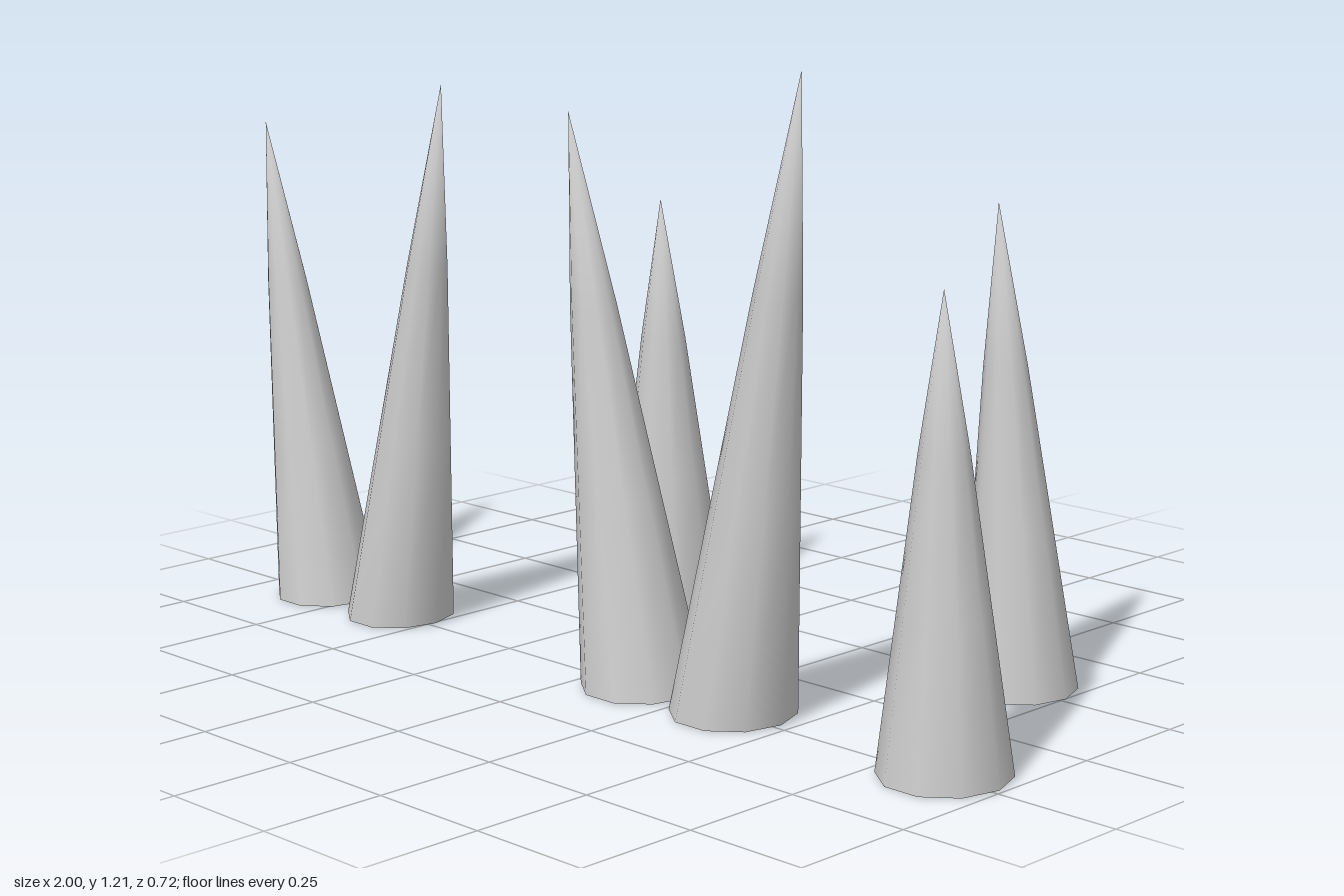
import * as THREE from 'three';
import { mergeVertices } from 'three/addons/utils/BufferGeometryUtils.js';

const material = new THREE.MeshStandardMaterial({ color: 0xcccccc, side: THREE.DoubleSide });

// Open ten-sided spike: slightly bulging taper from a base ring to a leaning tip
function spike(name, r, [bx, bz], [tx, ty, tz]) {
  let geo = new THREE.ConeGeometry(1, 1, 10, 3, true);
  geo.rotateY(Math.PI / 2);
  geo.translate(0, 0.5, 0);
  const p = geo.attributes.position;
  for (let i = 0; i < p.count; i++) {
    const t = p.getY(i);
    const bulge = 1 + 0.27 * t * t; // widens the upper rings, the tip stays a point
    const dx = p.getX(i) * r * bulge;
    const dz = p.getZ(i) * r * bulge;
    // the base plane tips down a little towards the front
    const y = THREE.MathUtils.lerp(0.004, ty, t) - 0.03 * dz;
    p.setXYZ(i, THREE.MathUtils.lerp(bx, tx, t) + dx, y, THREE.MathUtils.lerp(bz, tz, t) + dz);
  }
  // weld the tip and seam so the shading runs smoothly over them
  geo.deleteAttribute('normal');
  geo.deleteAttribute('uv');
  geo = mergeVertices(geo, 1e-4);
  geo.computeVertexNormals();
  const mesh = new THREE.Mesh(geo, material);
  mesh.name = name;
  return mesh;
}

export function createModel() {
  const group = new THREE.Group();
  group.name = 'spikes';
  group.add(
    // front row: two pairs splaying apart, and a single upright one
    spike('frontSpikeRightOuter', 0.113, [-0.831, 0.24], [-1.0, 1.0, 0.25]),
    spike('frontSpikeRightInner', 0.113, [-0.598, 0.24], [-0.433, 1.12, 0.25]),
    spike('frontSpikeMiddleRight', 0.122, [0.122, 0.24], [-0.063, 1.095, 0.253]),
    spike('frontSpikeMiddleLeft', 0.122, [0.361, 0.24], [0.536, 1.215, 0.255]),
    spike('frontSpikeLeft', 0.123, [0.874, 0.242], [0.866, 0.866, 0.255]),
    // back row
    spike('backSpikeRight', 0.123, [-0.248, -0.2], [-0.253, 0.866, -0.183]),
    spike('backSpikeLeft', 0.113, [0.645, -0.255], [0.585, 0.937, -0.24]),
  );
  return group;
}
